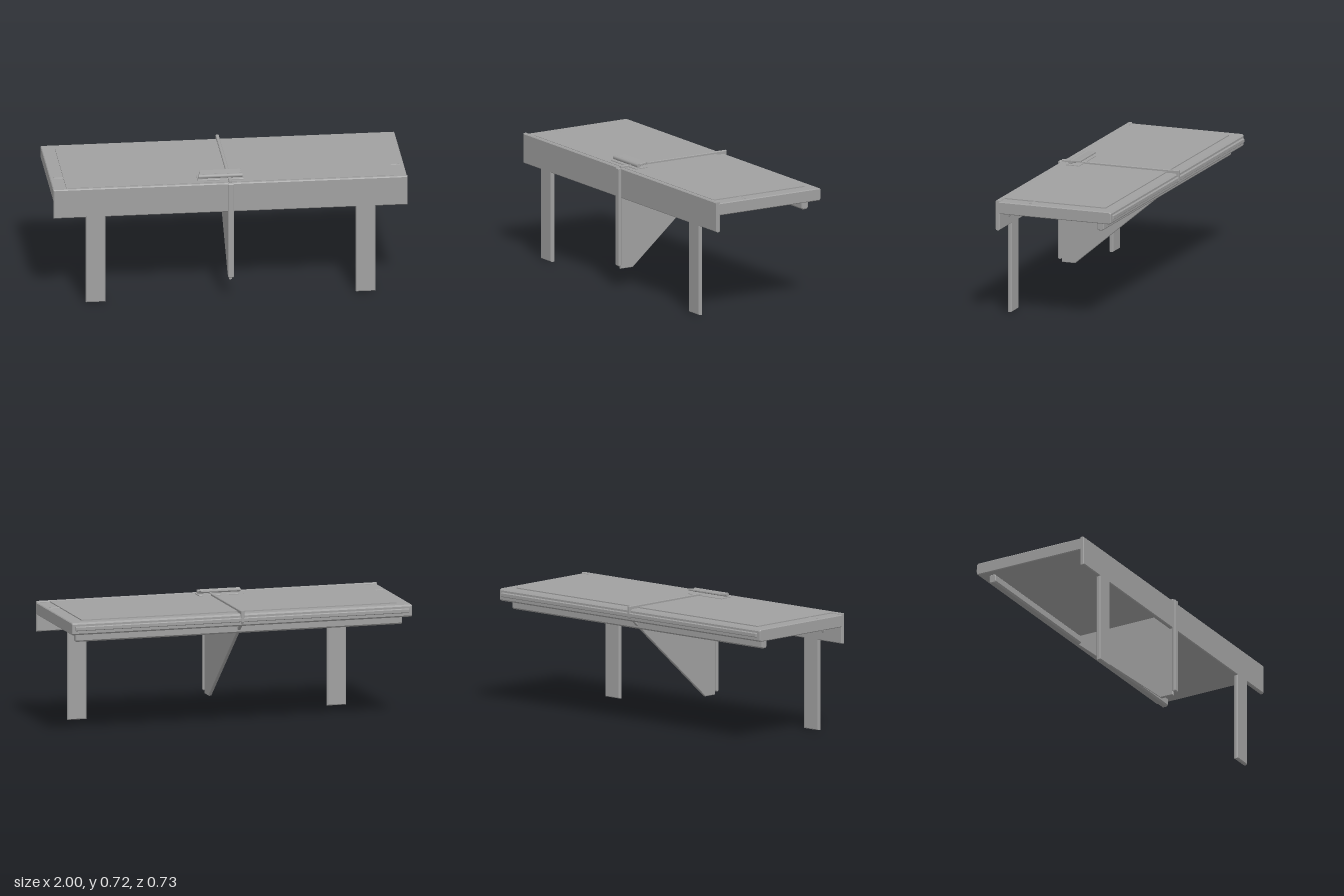
import * as THREE from 'three';

const grey = new THREE.MeshStandardMaterial({ color: 0xa0a0a0 });
grey.name = 'grey';

// Outline extruded to a given depth, centred on its depth, with chamfered rims
function plate(points, depth, c) {
  const shape = new THREE.Shape(points.map(([x, y]) => new THREE.Vector2(x, y)));
  const geo = new THREE.ExtrudeGeometry(shape, {
    depth: depth - 2 * c, bevelEnabled: true, bevelSize: c, bevelThickness: c,
    bevelOffset: -c, bevelSegments: 1,
  });
  return geo.translate(0, 0, c - depth / 2);
}

// Bar running along x whose section is a rectangle with cut corners
function bar(x0, x1, y0, y1, z0, z1, c) {
  const section = [
    [z0 + c, y0], [z1 - c, y0], [z1, y0 + c], [z1, y1 - c],
    [z1 - c, y1], [z0 + c, y1], [z0, y1 - c], [z0, y0 + c],
  ];
  return plate(section, x1 - x0, c * 0.5).rotateY(-Math.PI / 2).translate((x0 + x1) / 2, 0, 0);
}

export function createModel() {
  const model = new THREE.Group();
  model.name = 'wallTable';
  const add = (name, geo) => {
    const mesh = new THREE.Mesh(geo, grey);
    mesh.name = name;
    model.add(mesh);
    return mesh;
  };

  // Table top with its raised panel
  add('tableTop', bar(-1, 1, 0.61, 0.68, -0.352, 0.335, 0.009));
  add('topPanel', new THREE.BoxGeometry(1.85, 0.007, 0.61).translate(0, 0.6825, 0.015));
  add('backLip', bar(-0.98, 0.98, 0.635, 0.66, -0.363, -0.345, 0.004));

  // Front apron and both legs cut from one board
  const board = plate([
    [-1, 0.515], [-0.818, 0.515], [-0.818, 0], [-0.708, 0], [-0.708, 0.515],
    [0.708, 0.515], [0.708, 0], [0.818, 0], [0.818, 0.515], [1, 0.515],
    [1, 0.687], [-1, 0.687],
  ], 0.025, 0.005);
  add('apronAndLegs', board.translate(0, 0, 0.335));

  // Central triangular brace, its edge showing across the top
  const fin = plate([
    [0.345, 0.105], [0.345, 0.698], [-0.364, 0.698], [-0.364, 0.633],
    [-0.35, 0.625], [-0.33, 0.61], [0.265, 0.105],
  ].reverse(), 0.018, 0.003);
  add('centreBrace', fin.rotateY(-Math.PI / 2));
  add('frontStrip', bar(-0.016, 0.016, 0.122, 0.69, 0.345, 0.366, 0.006));

  // Rail under the back edge
  add('underRail', bar(-0.96, 0.96, 0.56, 0.612, -0.292, -0.25, 0.009));

  // Latch: base plate, hinge rod and tilted flap
  add('latchBase', bar(-0.18, 0.08, 0.68, 0.692, 0.212, 0.292, 0.003));
  add('latchRod', new THREE.CylinderGeometry(0.012, 0.012, 0.25, 12)
    .rotateZ(Math.PI / 2).translate(-0.05, 0.704, 0.268));
  add('latchFlap', bar(-0.165, 0.07, -0.006, 0.006, -0.058, 0, 0.003)
    .rotateX(0.16).translate(0, 0.704, 0.265));

  // Mirrored end pegs
  for (const side of [-1, 1]) {
    add('endPeg', new THREE.CylinderGeometry(0.014, 0.014, 0.055, 12)
      .rotateZ(Math.PI / 2).translate(side * 0.95, 0.67, 0.143));
  }

  // Bolt heads behind the apron
  for (const x of [-0.855, -0.285, 0.285, 0.855]) {
    add('boltHead', new THREE.CylinderGeometry(0.007, 0.013, 0.014, 12)
      .rotateX(-Math.PI / 2).translate(x, 0.575, 0.317));
  }
  return model;
}
